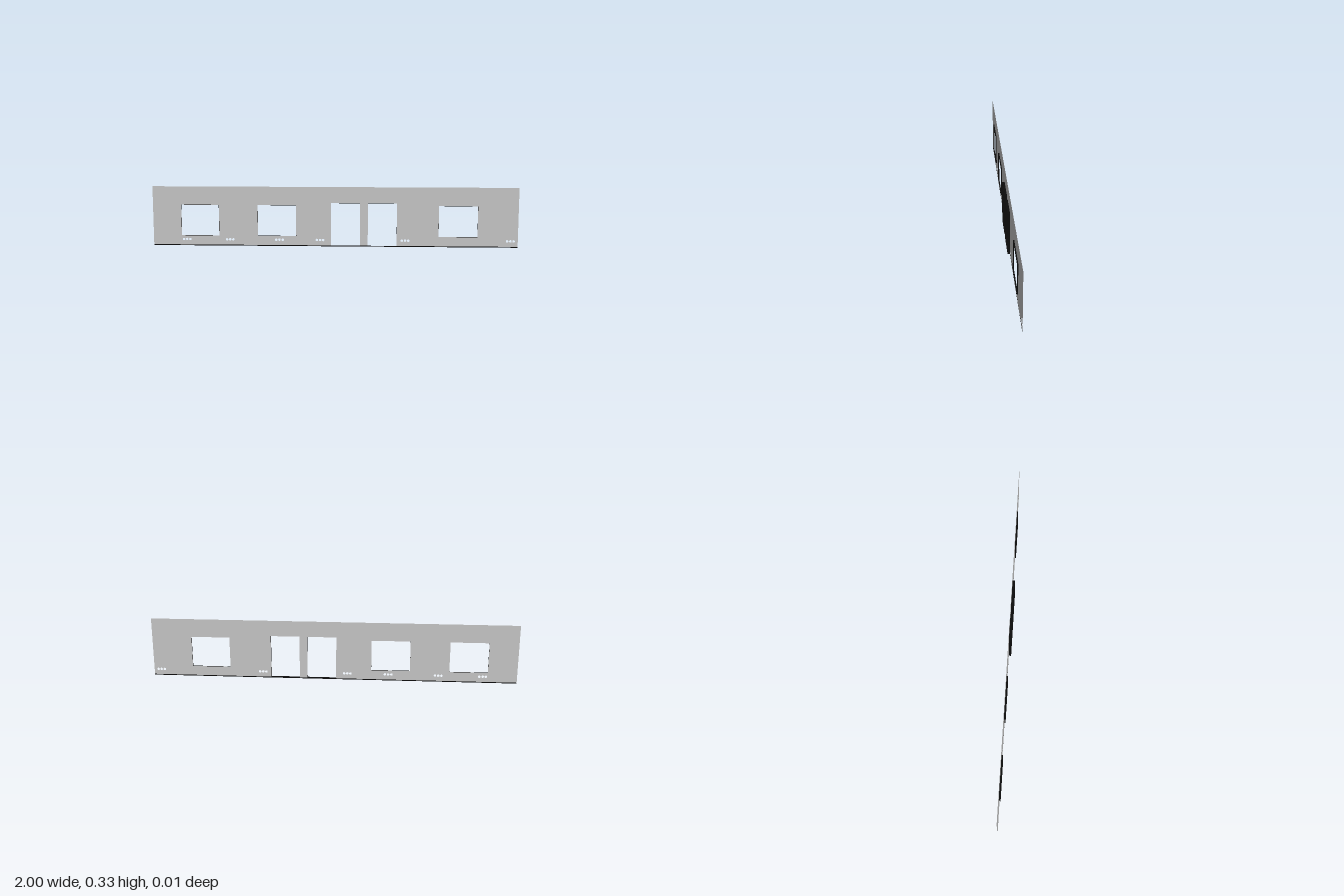
import * as THREE from 'three';

const BACK = -0.0065; // plane of the wall skin
const HEIGHT = 0.328, BASE = 0.005;
const windows = [[-0.842, -0.634], [-0.42, -0.209], [0.57, 0.781]]
  .map(([x0, x1]) => ({ x0, x1, y0: 0.057, y1: 0.227, depth: 0.0065, name: 'windowReveal' }));
const doors = [[-0.017, 0.142], [0.184, 0.342]]
  .map(([x0, x1]) => ({ x0, x1, y0: BASE, y1: 0.241, depth: 0.013, name: 'doorReveal' }));
const sockets = [-0.815, -0.575, -0.302, -0.078, 0.388, 0.96];

function corners({ x0, x1, y0, y1 }) {
  return [[x0, y0], [x0, y1], [x1, y1], [x1, y0]];
}

// Four thin faces lining an opening, running forward from the wall skin
function revealGeometry(opening) {
  const pts = corners(opening), pos = [], index = [];
  pts.forEach(([ax, ay], i) => {
    const [bx, by] = pts[(i + 1) % 4], z = BACK + opening.depth, n = i * 4;
    pos.push(ax, ay, BACK, bx, by, BACK, bx, by, z, ax, ay, z);
    index.push(n, n + 1, n + 2, n, n + 2, n + 3);
  });
  const g = new THREE.BufferGeometry();
  g.setAttribute('position', new THREE.Float32BufferAttribute(pos, 3));
  g.setIndex(index);
  g.computeVertexNormals();
  return g;
}

export function createModel() {
  const group = new THREE.Group();
  const grey = new THREE.MeshStandardMaterial({ color: 0xcccccc, side: THREE.DoubleSide });
  const black = new THREE.MeshStandardMaterial({ color: 0x0c0c0c, side: THREE.DoubleSide });
  const add = (name, geometry, material) => {
    const mesh = new THREE.Mesh(geometry, material);
    mesh.name = name;
    group.add(mesh);
    return mesh;
  };

  // Wall skin, notched from below by the doors
  const outline = [[-1, BASE]];
  doors.forEach((d) => outline.push(...corners(d)));
  outline.push([1, BASE], [1, HEIGHT], [-1, HEIGHT]);
  const wall = new THREE.Shape(outline.map(([x, y]) => new THREE.Vector2(x, y)));

  // Window openings
  windows.forEach((w) => {
    wall.holes.push(new THREE.Path(corners(w).map(([x, y]) => new THREE.Vector2(x, y))));
  });

  // Rows of three round socket holes
  sockets.forEach((x) => {
    for (let i = -1; i <= 1; i++) {
      wall.holes.push(new THREE.Path().absarc(x + i * 0.0175, 0.035, 0.007, 0, Math.PI * 2, true));
    }
  });
  add('wall', new THREE.ShapeGeometry(wall, 8), grey).position.z = BACK;

  // Dark linings of the windows and doors
  [...windows, ...doors].forEach((o) => add(o.name, revealGeometry(o), black));

  // Dark strip along the foot of the wall
  add('baseStrip', new THREE.PlaneGeometry(2, BASE), black).position.set(0, BASE / 2, BACK);

  return group;
}
